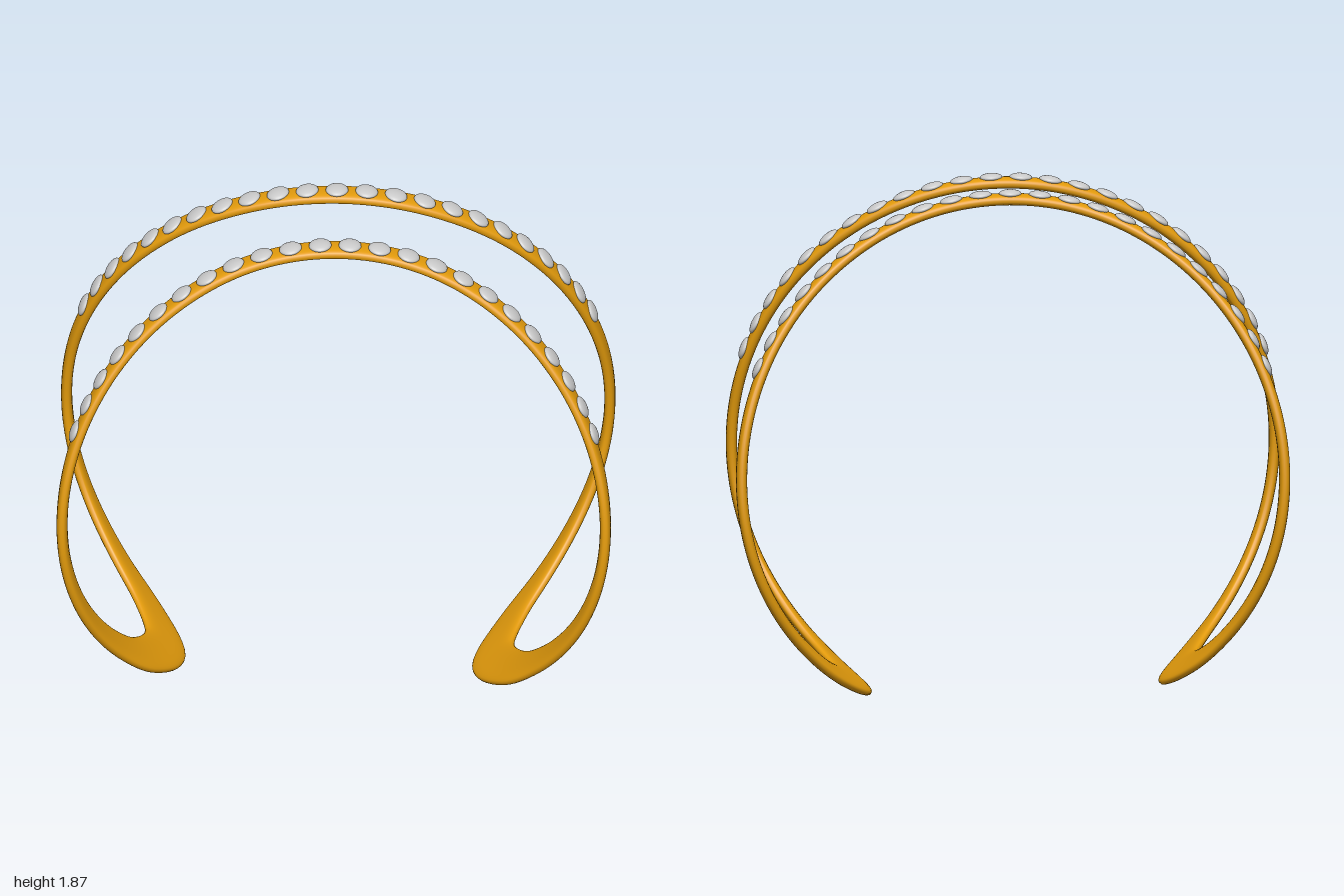
import * as THREE from 'three';

const RAD = Math.PI / 180;
const CENTRE_Y = 0.85;   // axis of the cylinder the band is wrapped on
const R = 0.98;          // mid radius of the band
const THICK = 0.04;
const TILT = 1.8 * RAD;  // the opening sits slightly off centre

// One quarter of the band, unrolled: angle from the top, depth z, width
const QUARTER = [
  [0, 0.206, 0.1], [20, 0.228, 0.1], [40, 0.297, 0.1], [56, 0.368, 0.102],
  [68, 0.423, 0.105], [83, 0.48, 0.105], [97, 0.497, 0.105], [108, 0.474, 0.108],
  [118, 0.42, 0.116], [129, 0.318, 0.132], [137.5, 0.195, 0.158], [142.7, 0, 0.182],
];

// Point on the wrapping cylinder; s is arc length from the top
function wrap(s, z, r) {
  const a = s / R + TILT;
  return new THREE.Vector3(r * Math.sin(a), CENTRE_Y + r * Math.cos(a), z);
}

// Closed centre line in (s, z, width), mirrored from the quarter
function centreLine() {
  const p = (q, ss, sz) => new THREE.Vector3(ss * q[0] * RAD * R, sz * q[1], q[2]);
  const down = QUARTER, up = QUARTER.slice(0, -1).reverse();
  const pts = [
    ...down.map(q => p(q, 1, 1)),
    ...up.map(q => p(q, 1, -1)),
    ...down.slice(1).map(q => p(q, -1, -1)),
    ...up.slice(0, -1).map(q => p(q, -1, 1)),
  ];
  const curve = new THREE.CatmullRomCurve3(pts, true, 'centripetal');
  curve.arcLengthDivisions = 1000;
  return curve;
}

// Sweep a flattened rounded section along the centre line
function bandGeometry(curve) {
  const N = 400, M = 28, pos = [], index = [];
  const soft = v => Math.sign(v) * Math.pow(Math.abs(v), 0.75);
  for (let i = 0; i < N; i++) {
    const c = curve.getPointAt(i / N), t = curve.getTangentAt(i / N);
    const len = Math.hypot(t.x, t.y), ns = -t.y / len, nz = t.x / len;
    for (let j = 0; j < M; j++) {
      const a = (j / M) * Math.PI * 2;
      const across = soft(Math.cos(a)) * c.z / 2;
      const v = wrap(c.x + ns * across, c.y + nz * across, R + soft(Math.sin(a)) * THICK / 2);
      pos.push(v.x, v.y, v.z);
      const i2 = (i + 1) % N, j2 = (j + 1) % M;
      const A = i * M + j, B = i2 * M + j, C = i2 * M + j2, D = i * M + j2;
      index.push(A, B, D, B, C, D);
    }
  }
  const g = new THREE.BufferGeometry();
  g.setAttribute('position', new THREE.Float32BufferAttribute(pos, 3));
  g.setIndex(index);
  g.computeVertexNormals();
  return g;
}

export function createModel() {
  const model = new THREE.Group();
  model.name = 'cuffBracelet';
  const gold = new THREE.MeshStandardMaterial({ color: 0xe39b0c });
  const grey = new THREE.MeshStandardMaterial({ color: 0xcccccc });
  const curve = centreLine();

  const band = new THREE.Mesh(bandGeometry(curve), gold);
  band.name = 'band';
  model.add(band);

  // Rows of flattened oval stones along the top of each strand
  const stoneGeo = new THREE.SphereGeometry(1, 24, 14).scale(0.041, 0.015, 0.045);
  const total = curve.getLength(), pitch = 0.1055;
  function stoneRow(name, u0, dir, count) {
    const row = new THREE.Group();
    row.name = name;
    for (let k = 0; k < count; k++) {
      const along = (k - (count - 1) / 2) * pitch - TILT * R;
      const u = (u0 + dir * along / total + 1) % 1;
      const c = curve.getPointAt(u), t = curve.getTangentAt(u);
      const stone = new THREE.Mesh(stoneGeo, grey);
      stone.name = 'stone';
      stone.position.copy(wrap(c.x, c.y, R + THICK / 2));
      // Face outward, then turn to follow the strand
      stone.rotation.order = 'ZYX';
      stone.rotation.set(0, -Math.atan2(t.y * dir, t.x * dir), -(c.x / R + TILT));
      row.add(stone);
    }
    model.add(row);
  }
  stoneRow('frontStones', 0, 1, 24);
  stoneRow('backStones', 0.5, -1, 23);

  return model;
}
